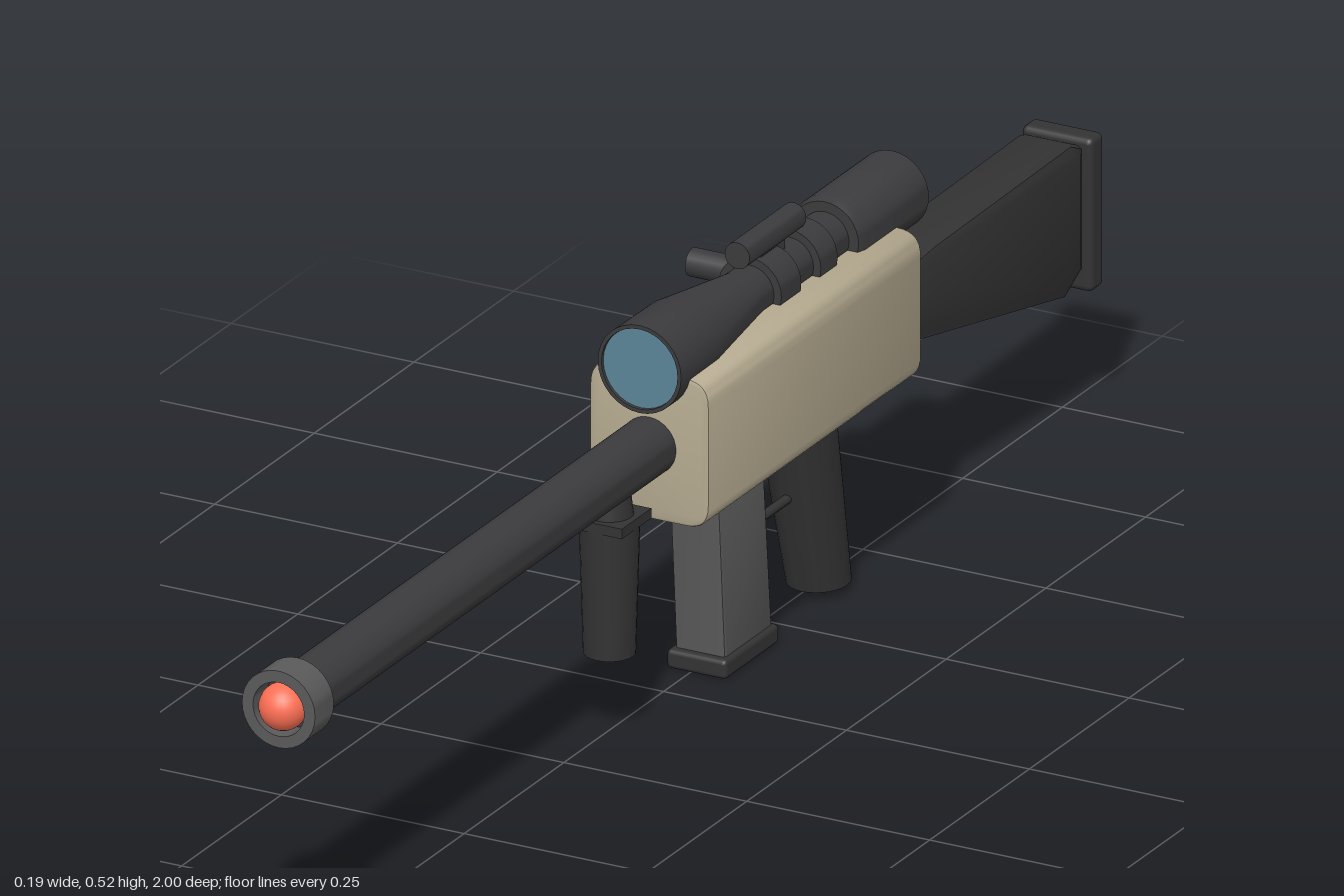
import * as THREE from 'three';
import { RoundedBoxGeometry } from 'three/addons/geometries/RoundedBoxGeometry.js';
import { toCreasedNormals } from 'three/addons/utils/BufferGeometryUtils.js';

const CX = 0.009; // centre plane of the main parts

const mat = (color) => new THREE.MeshStandardMaterial({ color });

export function createModel() {
  const group = new THREE.Group();
  const tan = mat(0xb5aa90), dark = mat(0x3b3b3d), black = mat(0x333333);
  const steel = mat(0x5a5a5a), glass = mat(0x5b8599), orange = mat(0xff7055);

  const add = (name, geo, material, x, y, z) => {
    const mesh = new THREE.Mesh(geo, material);
    mesh.name = name;
    mesh.position.set(x, y, z);
    group.add(mesh);
    return mesh;
  };
  // Solid turned along z from [radius, z] points, listed back to front
  const turned = (name, pts, material, y) => {
    const geo = new THREE.LatheGeometry(pts.map(([r, z]) => new THREE.Vector2(r, z)), 32);
    geo.rotateX(Math.PI / 2);
    return add(name, toCreasedNormals(geo, 0.6), material, CX, y, 0);
  };
  // Side outline in [z, y], extruded across x with a small bevel
  const sideExtrude = (name, pts, width, bevel, material) => {
    const shape = new THREE.Shape(pts.map(([z, y]) => new THREE.Vector2(-z, y)));
    const geo = new THREE.ExtrudeGeometry(shape, {
      depth: width - 2 * bevel, bevelSize: bevel, bevelOffset: -bevel,
      bevelThickness: bevel, bevelSegments: 2,
    });
    geo.translate(0, 0, -width / 2 + bevel);
    geo.rotateY(Math.PI / 2);
    return add(name, toCreasedNormals(geo, 0.5), material, CX, 0, 0);
  };

  // Receiver: rounded rectangle drawn along z
  const w = 0.0815, b = 0.246, t = 0.439, r = 0.032;
  const s = new THREE.Shape();
  s.moveTo(-w + r, b);
  s.lineTo(w - r, b);
  s.quadraticCurveTo(w, b, w, b + r);
  s.lineTo(w, t - r);
  s.quadraticCurveTo(w, t, w - r, t);
  s.lineTo(-w + r, t);
  s.quadraticCurveTo(-w, t, -w, t - r);
  s.lineTo(-w, b + r);
  s.quadraticCurveTo(-w, b, -w + r, b);
  const body = new THREE.ExtrudeGeometry(s, {
    depth: 0.527, bevelSize: 0.004, bevelOffset: -0.004, bevelThickness: 0.004,
    bevelSegments: 2, curveSegments: 8,
  });
  add('receiver', toCreasedNormals(body, 0.6), tan, CX, 0, -0.478);

  // Barrel, hollow muzzle ring and tip ball
  turned('barrel', [[0, 0.03], [0.037, 0.03], [0.037, 0.95], [0, 0.95]], dark, 0.342);
  turned('muzzleRing', [[0.034, 0.935], [0.05, 0.935], [0.05, 0.982], [0.035, 0.982], [0.034, 0.935]], steel, 0.342);
  add('muzzleBall', new THREE.SphereGeometry(0.03, 24, 16), orange, CX, 0.342, 0.97);

  // Front grip hanging under the barrel
  add('foregrip', new THREE.CylinderGeometry(0.037, 0.032, 0.17, 24), black, CX, 0.195, 0.152);
  add('foregripPlate', new THREE.BoxGeometry(0.074, 0.013, 0.074), black, CX, 0.284, 0.152);
  add('foregripMount', new THREE.CylinderGeometry(0.025, 0.03, 0.04, 24), black, CX, 0.305, 0.152);

  // Slanted magazine and its base
  sideExtrude('magazine', [[-0.195, 0.015], [-0.076, 0.015], [-0.058, 0.26], [-0.172, 0.26]], 0.068, 0.004, steel);
  add('magazineBase', new RoundedBoxGeometry(0.082, 0.025, 0.135, 2, 0.006), black, CX, 0.0125, -0.132);

  // Rear grip: tapered cylinder sheared backwards
  const grip = new THREE.CylinderGeometry(0.053, 0.043, 0.26, 28);
  const p = grip.attributes.position;
  for (let i = 0; i < p.count; i++) {
    p.setX(i, p.getX(i) * 0.9);
    p.setZ(i, p.getZ(i) + p.getY(i) * 0.235);
  }
  grip.computeVertexNormals();
  add('rearGrip', toCreasedNormals(grip, 0.7), black, CX, 0.14, -0.342);

  // Trigger bar between magazine and grip
  const bar = new THREE.CylinderGeometry(0.006, 0.006, 0.14, 10).rotateX(Math.PI / 2);
  add('triggerBar', bar, black, CX, 0.144, -0.245);

  // Shoulder stock and butt plate
  sideExtrude('stock', [
    [-0.475, 0.275], [-0.475, 0.36], [-0.6, 0.37], [-0.94, 0.374],
    [-0.97, 0.36], [-0.97, 0.2], [-0.925, 0.177],
  ], 0.078, 0.012, black);
  add('buttPlate', new RoundedBoxGeometry(0.097, 0.2, 0.032, 2, 0.008), black, CX, 0.271, -0.984);

  // Scope: bells at both ends joined by a narrow tube
  const sy = 0.45;
  turned('scopeBody', [
    [0, -0.545], [0.044, -0.545], [0.045, -0.557], [0.05, -0.557], [0.05, -0.4], [0.046, -0.388], [0.033, -0.388],
    [0.033, -0.175], [0.056, -0.02], [0.057, 0.077], [0.052, 0.077], [0.051, 0.066], [0, 0.066],
  ], dark, sy);
  for (const [z, len] of [[-0.225, 0.05], [-0.32, 0.042]])
    turned('scopeRing', [[0, z - len / 2], [0.043, z - len / 2], [0.043, z + len / 2], [0, z + len / 2]], dark, sy);
  add('frontLens', new THREE.CircleGeometry(0.052, 32), glass, CX, sy, 0.073);
  add('rearLens', new THREE.CircleGeometry(0.045, 32).rotateY(Math.PI), glass, CX, sy, -0.553);

  // Small tube on top of the scope, with a foot, and the side knob
  turned('topTube', [[0, -0.31], [0.017, -0.31], [0.017, -0.168], [0, -0.168]], dark, 0.507);
  add('topTubeFoot', new THREE.BoxGeometry(0.02, 0.04, 0.06), dark, CX, 0.485, -0.24);
  const knob = new THREE.CylinderGeometry(0.018, 0.018, 0.085, 20).rotateZ(Math.PI / 2);
  add('sideKnob', knob, dark, -0.052, sy, -0.245);

  return group;
}
